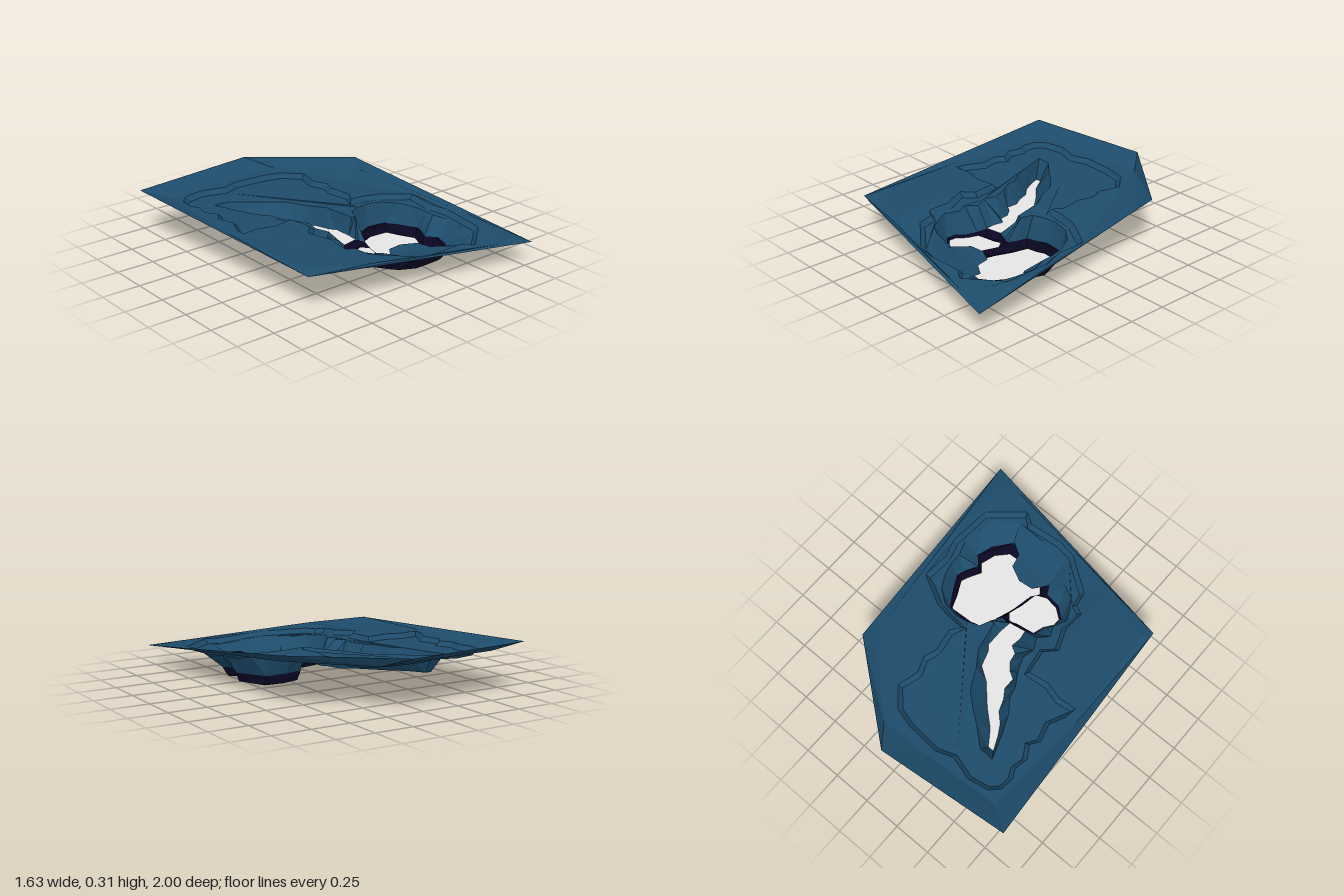
import * as THREE from 'three';

// Flat [x, z, x, z, ...] list to point pairs
const pairs = (a) => Array.from({ length: a.length / 2 }, (_, i) => [a[2 * i], a[2 * i + 1]]);

// Plateau height: level at the back left, sinking towards the front right
const ground = (x, z) => 0.25 - 0.08 * THREE.MathUtils.clamp((x * 0.6 + z) / 1.1, 0, 1);
const rimHeight = (x, z) => ground(x, z) - 0.035;

// Give every [x, z] point a height, as Vector3
const lift = (pts, rule) => pts.map(([x, z]) => new THREE.Vector3(x, typeof rule === 'number' ? rule : rule(x, z), z));

// Move a closed outline inwards
function inset(pts, d) {
  const n = pts.length;
  let area = 0;
  pts.forEach(([x, z], i) => { const q = pts[(i + 1) % n]; area += x * q[1] - q[0] * z; });
  const s = Math.sign(area);
  return pts.map(([x, z], i) => {
    const a = pts[(i + n - 1) % n], b = pts[(i + 1) % n];
    const dx = b[0] - a[0], dz = b[1] - a[1], l = Math.hypot(dx, dz);
    return [x - (s * dz * d) / l, z + (s * dx * d) / l];
  });
}

// Faceted mesh from triangles, all turned to face up
function facets(name, material, triangles) {
  const pos = [];
  for (const [a, b, c] of triangles) {
    const up = (b.z - a.z) * (c.x - a.x) - (b.x - a.x) * (c.z - a.z);
    for (const p of up > 0 ? [a, b, c] : [a, c, b]) pos.push(p.x, p.y, p.z);
  }
  const g = new THREE.BufferGeometry();
  g.setAttribute('position', new THREE.Float32BufferAttribute(pos, 3));
  g.computeVertexNormals();
  const mesh = new THREE.Mesh(g, material);
  mesh.name = name;
  return mesh;
}

// Land between an outer contour and the contours inside it
function land(name, material, outer, holes = []) {
  const flat = (c) => c.map((p) => new THREE.Vector2(p.x, p.z));
  const all = [outer, ...holes].flat();
  const faces = THREE.ShapeUtils.triangulateShape(flat(outer), holes.map(flat));
  return facets(name, material, faces.map((f) => f.map((i) => all[i])));
}

// Wall between two closed contours that start side by side, always taking the shorter cross edge
function wall(name, material, top, foot) {
  const triangles = [];
  const at = (ring, i) => ring[i % ring.length];
  let i = 0, j = 0;
  while (i < top.length || j < foot.length) {
    const a = at(top, i), b = at(foot, j), nextA = at(top, i + 1), nextB = at(foot, j + 1);
    const onTop = j === foot.length || (i < top.length && nextA.distanceTo(b) < nextB.distanceTo(a));
    triangles.push(onTop ? [a, nextA, b] : [a, nextB, b]);
    if (onTop) i++; else j++;
  }
  return facets(name, material, triangles);
}

export function createModel() {
  const mat = (name, color) => {
    const m = new THREE.MeshStandardMaterial({ color, side: THREE.DoubleSide, flatShading: true });
    m.name = name;
    return m;
  };
  const rock = mat('blue rock', 0x1d4c6b);
  const deep = mat('dark navy rock', 0x0a0722);
  const pale = mat('pale floor', 0xe6e6e6);

  // Outer edge of the land, raised at the back
  const edge = [[-0.82, 0.31, -0.91], [0.07, 0.315, -1], [0.66, 0.315, -0.52], [0.81, 0.14, 0.995], [-0.71, 0.235, 0.69]]
    .map((p) => new THREE.Vector3(...p));

  // Boundary of the plateau
  const plateau = [[-0.66, 0.25, -0.8], [-0.1, 0.255, -0.84], [0.19, 0.255, -0.85], [0.49, 0.26, -0.57], [0.62, 0.26, -0.42],
    [0.69, 0.22, 0.1], [0.74, 0.19, 0.5], [0.71, 0.16, 0.9], [0.6, 0.16, 0.93], [0.1, 0.19, 0.835], [-0.3, 0.225, 0.755],
    [-0.67, 0.25, 0.62], [-0.71, 0.25, -0.1]].map((p) => new THREE.Vector3(...p));

  // Top of the low step around the sunken ground
  const stepLine = pairs([
    -0.65, -0.02, -0.64, -0.1, -0.59, -0.2, -0.62, -0.32, -0.58, -0.38, -0.63, -0.46, -0.61, -0.55, -0.64, -0.61,
    -0.63, -0.7, -0.57, -0.76, -0.43, -0.785, -0.28, -0.74, -0.17, -0.78, 0.05, -0.765, 0.18, -0.73, 0.29, -0.61,
    0.25, -0.47, 0.29, -0.37, 0.26, -0.28, 0.285, -0.13, 0.24, -0.065, 0.36, -0.06, 0.46, -0.04, 0.59, 0.03,
    0.66, 0.07, 0.65, 0.25, 0.69, 0.38, 0.67, 0.67, 0.46, 0.85, 0.38, 0.8, 0.15, 0.82, 0.03, 0.8,
    -0.09, 0.71, -0.2, 0.63, -0.22, 0.53, -0.28, 0.5, -0.27, 0.36, -0.33, 0.21, -0.26, 0.14, -0.28, -0.02,
    -0.42, 0, -0.53, -0.03,
  ]);
  const stepTop = lift(stepLine, ground);
  const stepFoot = lift(inset(stepLine, 0.03), (x, z) => ground(x, z) - 0.03);

  // Rim of the gorge and the pools, with a ridge between them
  const rim = lift(pairs([
    -0.46, -0.59, -0.36, -0.585, -0.24, -0.48, -0.16, -0.42, -0.07, -0.34, 0, -0.2, 0.07, -0.1, 0.11, 0.1, 0.14, 0.1,
    0.17, 0.03, 0.25, 0, 0.33, -0.015, 0.44, 0.005, 0.53, 0.075, 0.58, 0.17, 0.6, 0.26, 0.6, 0.33,
    0.64, 0.43, 0.62, 0.57, 0.59, 0.67, 0.45, 0.77, 0.2, 0.76, 0.05, 0.745, -0.02, 0.66, -0.07, 0.6,
    -0.15, 0.56, -0.2, 0.48, -0.23, 0.42, -0.19, 0.33, -0.22, 0.26, -0.16, 0.2, -0.2, 0.12, -0.18, 0.04,
    -0.22, -0.06, -0.27, -0.14, -0.29, -0.22, -0.35, -0.3, -0.4, -0.42,
  ]), rimHeight);

  // Foot of the blue walls: river banks, then the top of the dark pool walls
  const bankRight = lift(pairs([-0.41, -0.52, -0.37, -0.52, -0.3, -0.42, -0.2, -0.33, -0.08, -0.2, 0.01, -0.14,
    0.04, -0.04, 0.07, 0, 0.07, 0.12, 0.06, 0.2]), 0.095);
  const poolTop = lift(pairs([0.09, 0.2, 0.13, 0.21, 0.16, 0.14, 0.17, 0.08, 0.25, 0.055, 0.31, 0.03, 0.44, 0.045,
    0.49, 0.13, 0.55, 0.24, 0.53, 0.3, 0.485, 0.38, 0.54, 0.44, 0.505, 0.55, 0.42, 0.655, 0.3, 0.68, 0.18, 0.67,
    0.05, 0.6, 0.01, 0.52, -0.1, 0.505, -0.165, 0.45, -0.165, 0.385, -0.12, 0.33, -0.105, 0.255]),
  (x, z) => (z > 0.57 && x < 0.4 ? 0.11 : 0.062));
  const bankLeft = lift(pairs([-0.05, 0.22, -0.06, 0.16, -0.05, 0.09, -0.1, 0.06, -0.11, 0, -0.15, -0.05, -0.2, -0.08,
    -0.2, -0.16, -0.24, -0.22, -0.27, -0.3, -0.33, -0.36, -0.37, -0.43]), 0.095);

  // Pool floors
  const upperPool = lift(pairs([-0.09, 0.26, -0.11, 0.33, -0.155, 0.39, -0.155, 0.44, -0.09, 0.49, 0, 0.505, 0.07, 0.475,
    0.09, 0.36, 0.12, 0.27, 0.08, 0.22, 0.04, 0.24]), 0.043);
  const lowerPool = lift(pairs([0.1, 0.46, 0.13, 0.31, 0.17, 0.2, 0.19, 0.09, 0.26, 0.08, 0.31, 0.055, 0.44, 0.065,
    0.47, 0.15, 0.52, 0.25, 0.5, 0.3, 0.455, 0.38, 0.5, 0.43, 0.47, 0.53, 0.4, 0.605, 0.3, 0.61, 0.2, 0.61,
    0.1, 0.56, 0.06, 0.51]), 0);

  // Ledge overhanging the lower pool, rising to the rim
  const ledge = lift(pairs([0.03, 0.56, 0.1, 0.47, 0.2, 0.46, 0.3, 0.51, 0.32, 0.6, 0.41, 0.655, 0.45, 0.77, 0.2, 0.76, 0.05, 0.745]),
    (x, z) => (z > 0.68 ? rimHeight(x, z) : 0.11));

  const model = new THREE.Group();
  model.name = 'canyonTerrain';
  model.add(
    wall('outerSlope', rock, edge, plateau),
    land('plateau', rock, plateau, [stepTop]),
    wall('lowStep', rock, stepTop, stepFoot),
    land('sunkenGround', rock, stepFoot, [rim]),
    wall('gorgeWalls', rock, rim, [...bankRight, ...poolTop, ...bankLeft]),
    land('darkPoolWalls', deep, [bankRight.at(-1), ...poolTop, bankLeft[0]], [upperPool, lowerPool]),
    land('riverFloor', pale, [...bankRight, ...bankLeft]),
    land('upperPoolFloor', pale, upperPool),
    land('lowerPoolFloor', pale, lowerPool),
    land('ledge', rock, ledge),
  );
  return model;
}
